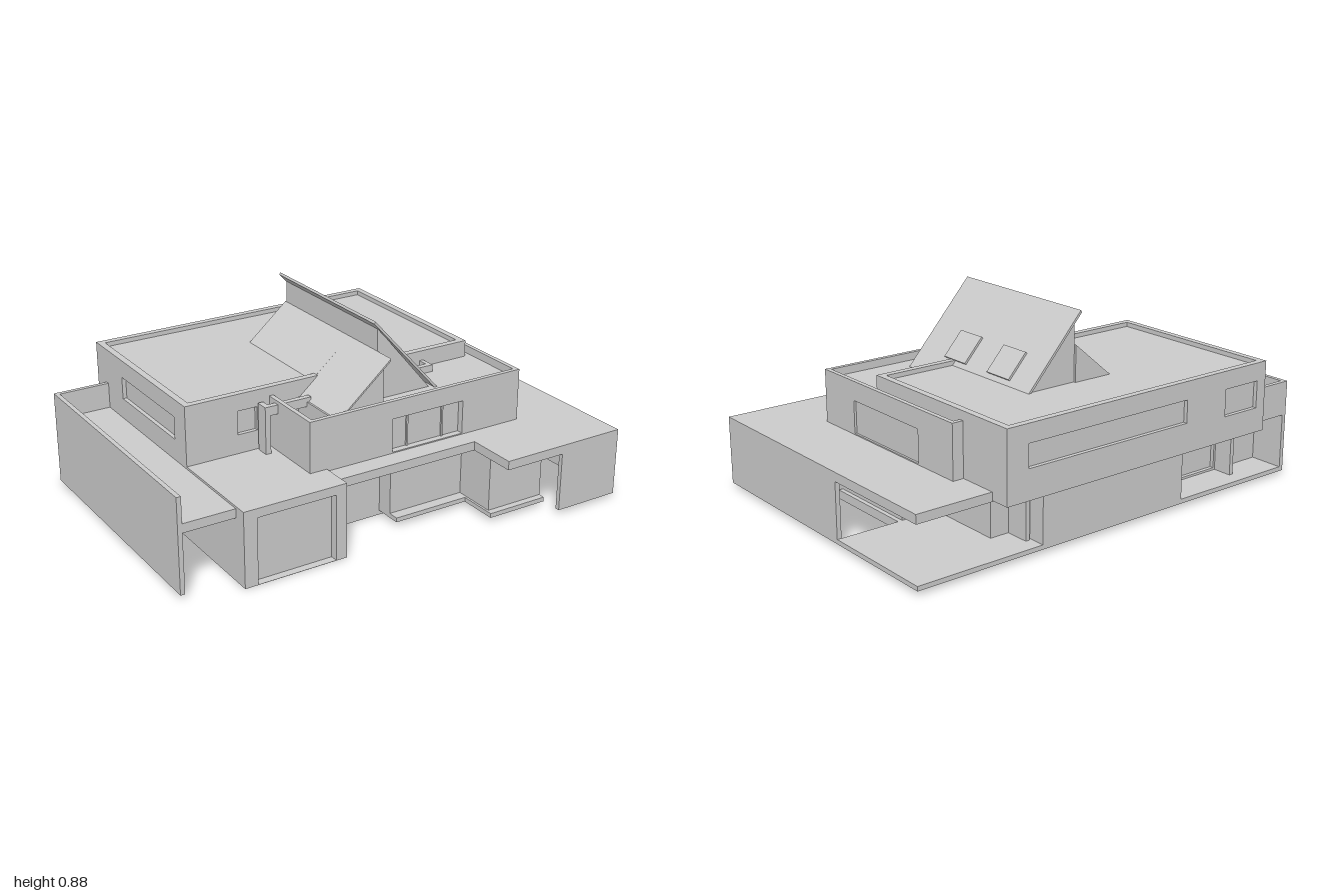
import * as THREE from 'three';

const mat = new THREE.MeshStandardMaterial({ color: 0xcccccc, flatShading: true, side: THREE.DoubleSide });

export function createModel() {
  const house = new THREE.Group();
  house.name = 'house';

  function add(name, geo, parent = house) {
    const m = new THREE.Mesh(geo, mat);
    m.name = name;
    parent.add(m);
    return m;
  }

  // Box given by its limits on each axis
  function box(name, x0, x1, y0, y1, z0, z1, parent = house) {
    const m = add(name, new THREE.BoxGeometry(x1 - x0, y1 - y0, z1 - z0), parent);
    m.position.set((x0 + x1) / 2, (y0 + y1) / 2, (z0 + z1) / 2);
    return m;
  }

  const vectors = (pts) => pts.map(([a, b]) => new THREE.Vector2(a, b));
  const extrude = (shape, depth) => new THREE.ExtrudeGeometry(shape, { depth, bevelEnabled: false });

  // Horizontal slab from an outline of [x, z] points, with an optional opening
  function slab(name, pts, y0, y1, hole) {
    const flip = (list) => vectors(list.map(([x, z]) => [x, -z]));
    const shape = new THREE.Shape(flip(pts));
    if (hole) shape.holes.push(new THREE.Path(flip(hole)));
    add(name, extrude(shape, y1 - y0).rotateX(-Math.PI / 2)).position.y = y0;
  }

  // Solid with a front outline in x and y, running from z0 to z1
  function prism(name, pts, z0, z1) {
    add(name, extrude(new THREE.Shape(vectors(pts)), z1 - z0)).position.z = z0;
  }

  // Wall with window holes [s0, s1, y0, y1, mullions]; glass sits near the inner face
  function wall(name, side, at, s0, s1, y0, y1, windows, t = 0.03) {
    const g = new THREE.Group();
    g.name = name;
    const shape = new THREE.Shape(vectors([[s0, y0], [s1, y0], [s1, y1], [s0, y1]]));
    // The extrusion starts at the outer face on the back and left, at the inner face otherwise
    const outerFirst = side === 'back' || side === 'right';
    const layer = (near, far) => (outerFirst ? [near * t, far * t] : [(1 - far) * t, (1 - near) * t]);
    for (const [a, b, c, d, bars = []] of windows) {
      shape.holes.push(new THREE.Path(vectors([[a, c], [a, d], [b, d], [b, c]])));
      box('windowPane', a, b, c, d, ...layer(0.6, 0.8), g);
      for (const s of bars) box('windowBar', s - 0.004, s + 0.004, c, d, ...layer(0.45, 0.7), g);
    }
    add('wallPanel', extrude(shape, t), g);
    if (side === 'front') g.position.z = at - t;
    if (side === 'back') g.position.z = at;
    if (side === 'right' || side === 'left') {
      g.rotation.y = -Math.PI / 2;
      g.position.x = side === 'right' ? at : at + t;
    }
    house.add(g);
  }

  // Foundation and ground floor plate, open in the middle and under the garage
  const floorOpening = [[-0.26, -0.5], [0.36, -0.5], [0.36, -0.42], [0.5, -0.42], [0.5, 0.2], [-0.26, 0.2]];
  slab('foundation', [[-0.33, -0.59], [0.41, -0.59], [0.41, -0.48], [0.71, -0.48], [0.71, 0.34],
    [-0.33, 0.34]], 0, 0.02, floorOpening);
  slab('groundPlate', [[-1, -0.66], [1, -0.66], [1, -0.11], [0.71, -0.11], [0.71, 0.34], [-0.33, 0.34],
    [-0.33, -0.48], [-1, -0.48]], 0.02, 0.04, floorOpening);
  box('frontStep', 0.04, 0.41, 0.02, 0.04, 0.34, 0.47);
  box('cornerStep', 0.4, 0.69, 0.02, 0.04, 0.34, 0.65);

  // Ground floor rooms
  box('groundBackWall', -0.36, 0.4, 0.02, 0.285, -0.66, -0.64);
  box('groundBackJog', 0.41, 0.52, 0.04, 0.285, -0.48, -0.45);
  box('groundRightWallBack', 0.38, 0.4, 0.04, 0.285, -0.64, -0.45);
  box('groundRightWall', 0.41, 0.43, 0.04, 0.285, -0.59, 0.6);
  box('sideRoomWall', 0.5, 0.52, 0.04, 0.285, -0.45, -0.11);
  wall('groundBackGlazing', 'back', -0.5, -0.75, -0.34, 0.04, 0.285, [[-0.72, -0.37, 0.05, 0.27, [-0.53]]]);
  box('carportBackWall', -0.98, -0.75, 0.04, 0.285, -0.5, -0.48);
  box('backPier', -0.75, -0.73, 0.02, 0.285, -0.59, -0.5);
  box('recessSide', -0.36, -0.34, 0.02, 0.285, -0.64, -0.48);
  box('groundLeftWall', -0.75, -0.73, 0, 0.285, -0.47, 0.11);
  box('entryWall', -0.28, 0.04, 0.02, 0.285, 0.31, 0.34);
  box('entrySide', 0.04, 0.06, 0.02, 0.285, 0.31, 0.4);
  box('livingGlazing', 0.04, 0.41, 0.04, 0.285, 0.4, 0.42);
  box('cornerGlazing', 0.41, 0.69, 0.04, 0.285, 0.6, 0.62);
  box('cornerRoomSide', 0.67, 0.69, 0.04, 0.285, -0.11, 0.6);

  // Garage with recessed door
  wall('garageFront', 'front', 0.58, -0.75, -0.28, 0, 0.335, [[-0.69, -0.33, 0.001, 0.295]], 0.06);
  box('garageLeft', -0.75, -0.72, 0, 0.335, 0.11, 0.52);
  box('garageRight', -0.31, -0.28, 0, 0.335, 0.11, 0.52);
  box('garageRoof', -0.75, -0.28, 0.3, 0.335, 0.11, 0.55);

  // Wide middle slab that folds down into the right and front corner walls
  slab('middleSlab', [[-1, -0.66], [1, -0.66], [1, 0.75], [0.4, 0.75], [0.4, 0.52], [-1, 0.52]], 0.285, 0.325);
  box('rightScreenWall', 0.98, 1, 0.02, 0.325, -0.11, 0.75);
  box('frontScreenWall', 0.69, 1, 0.02, 0.325, 0.73, 0.75);

  // Carport wall with its back parapet
  box('carportWall', -1, -0.98, 0.02, 0.44, -0.66, 0.52);
  box('carportParapet', -1, -0.75, 0.285, 0.44, -0.66, -0.64);

  // Upper back storey
  wall('upperBackWall', 'back', -0.75, -0.75, 0.65, 0.29, 0.6,
    [[-0.285, 0.545, 0.42, 0.52], [-0.7, -0.51, 0.4, 0.52]]);
  wall('upperFrontWall', 'front', 0.11, -0.75, 0.65, 0.29, 0.6, [[-0.51, -0.42, 0.42, 0.525]]);
  wall('upperLeftWall', 'left', -0.75, -0.72, 0.08, 0.29, 0.6, [[-0.49, 0.01, 0.42, 0.52]]);
  box('upperRightWall', 0.62, 0.65, 0.29, 0.6, -0.72, 0.08);
  box('upperFloor', -0.72, 0.62, 0.29, 0.31, -0.72, 0.08);
  box('upperRoof', -0.72, 0.62, 0.56, 0.58, -0.72, 0.08);

  // Lower front storey wrapping the right side: thick walls with deep windows, thin parapets
  wall('lowerFrontWall', 'front', 0.43, -0.2, 0.7, 0.325, 0.52, [[0.04, 0.4, 0.33, 0.48, [0.13, 0.31]]], 0.05);
  wall('lowerRightWall', 'left', 0.65, -0.48, 0.38, 0.325, 0.52,
    [[-0.25, 0.21, 0.33, 0.475, [-0.11, 0.07]]].map(([a, b, c, d, bars]) => [a, b, c, d, bars]), 0.05);
  box('terraceFrontWall', -0.36, -0.2, 0.325, 0.52, 0.41, 0.43);
  box('frontParapet', -0.36, 0.7, 0.52, 0.56, 0.41, 0.43);
  box('rightParapet', 0.68, 0.7, 0.52, 0.56, -0.48, 0.41);
  box('backParapet', 0.65, 0.68, 0.52, 0.56, -0.48, -0.46);
  box('lowerLeftWall', -0.36, -0.34, 0.325, 0.56, 0.11, 0.41);
  box('lowerRoof', -0.22, 0.68, 0.505, 0.525, 0.1, 0.41);
  box('sideRoof', 0.64, 0.68, 0.505, 0.525, -0.46, 0.11);
  box('terraceFloor', -0.34, -0.22, 0.39, 0.41, 0.11, 0.41);
  box('terraceSide', -0.22, -0.2, 0.39, 0.525, 0.11, 0.41);

  // Small angled canopies beside the terrace and on the roof
  box('leftCanopy', -0.42, -0.2, 0.505, 0.545, 0.155, 0.18);
  box('leftPost', -0.42, -0.395, 0.325, 0.545, 0.12, 0.18);
  box('rightCanopy', 0.31, 0.42, 0.525, 0.556, 0.155, 0.18);
  box('rightCanopyReturn', 0.4, 0.42, 0.525, 0.556, 0.11, 0.18);

  // Split gable: low left slope, tall right slope, straight wall between
  prism('leftSlope', [[-0.22, 0.518], [-0.21, 0.518], [0.04, 0.73], [0.04, 0.74]], 0.1, 0.41);
  prism('leftGable', [[-0.2, 0.52], [0.04, 0.52], [0.04, 0.73]], 0.1, 0.36);
  prism('leftSlopeBack', [[-0.16, 0.57], [0.04, 0.57], [0.04, 0.74]], -0.43, 0.1);
  prism('rightGable', [[0.04, 0.52], [0.31, 0.52], [0.04, 0.84]], -0.42, 0.31);
  prism('rightSlope', [[0.01, 0.87], [0.328, 0.518], [0.335, 0.526], [0.015, 0.88]], -0.43, 0.33);

  // Skylights lying on the right slope
  for (const z of [0.077, -0.217]) {
    const light = box('skylight', 0.16, 0.295, 0.644, 0.656, z - 0.072, z + 0.072);
    light.rotation.z = -Math.atan2(0.354, 0.32);
  }

  return house;
}
